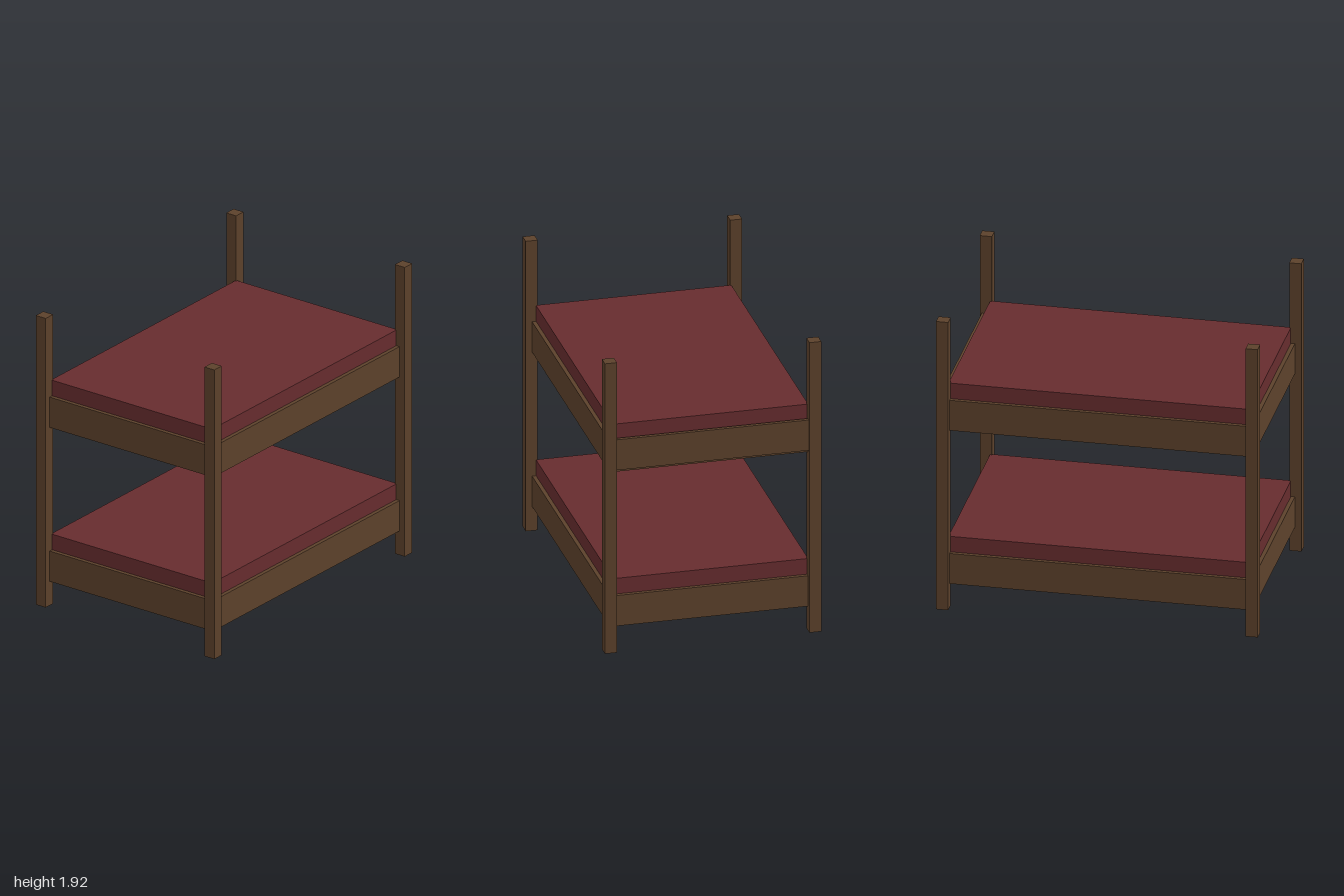
import * as THREE from 'three';

export function createModel() {
  const model = new THREE.Group();
  model.name = 'bunkBed';

  const wood = new THREE.MeshStandardMaterial({ color: 0x5c412b });
  wood.name = 'brown wood';
  const fabric = new THREE.MeshStandardMaterial({ color: 0x662c2e });
  fabric.name = 'dark red fabric';

  // Box given by its lower and upper limits on each axis
  function box(parent, name, material, [x0, x1], [y0, y1], [z0, z1]) {
    const mesh = new THREE.Mesh(new THREE.BoxGeometry(x1 - x0, y1 - y0, z1 - z0), material);
    mesh.position.set((x0 + x1) / 2, (y0 + y1) / 2, (z0 + z1) / 2);
    mesh.name = name;
    parent.add(mesh);
  }

  // Four corner posts
  for (const sx of [-1, 1]) {
    for (const sz of [-1, 1]) {
      const post = new THREE.Mesh(new THREE.BoxGeometry(0.075, 1.925, 0.075), wood);
      post.position.set(sx * 0.6425, 0.9625, sz * 0.9625);
      post.name = 'cornerPost';
      model.add(post);
    }
  }

  // One bunk: base board, four rails and a mattress.
  // backOut and backUp shift the back rail outwards and upwards.
  function addBunk(name, y, backOut, backUp) {
    const bunk = new THREE.Group();
    bunk.name = name;
    const railHeight = [y, y + 0.202];
    const backZ = -0.963 - backOut;

    box(bunk, 'baseBoard', wood, [-0.615, 0.615], [y, y + 0.04], [-0.938 - backOut, 0.935]);
    box(bunk, 'leftRail', wood, [0.615, 0.64], railHeight, [-0.94, 0.94]);
    box(bunk, 'rightRail', wood, [-0.64, -0.615], railHeight, [-0.94, 0.94]);
    box(bunk, 'frontRail', wood, [-0.615, 0.615], railHeight, [0.935, 0.96]);
    box(bunk, 'backRail', wood, [-0.615, 0.615],
      [y + backUp, y + 0.202 + backUp], [backZ, backZ + 0.025]);
    box(bunk, 'mattress', fabric, [-0.614, 0.614], [y + 0.04, y + 0.305], [-0.937, 0.934]);
    model.add(bunk);
  }
  addBunk('lowerBunk', 0.16, 0, 0);
  addBunk('upperBunk', 1.185, 0.025, 0.02);

  return model;
}
